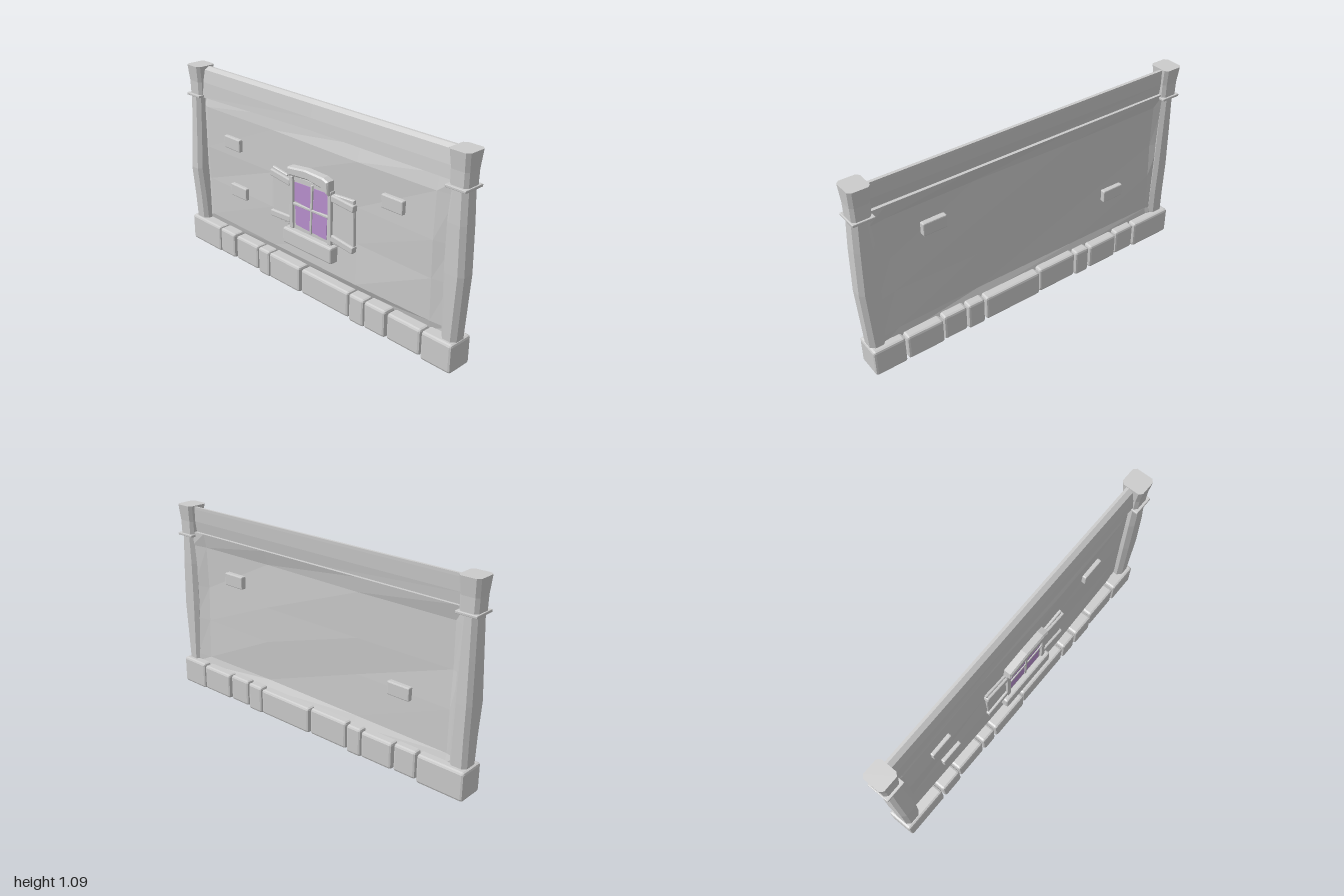
import * as THREE from 'three';
import { RoundedBoxGeometry } from 'three/addons/geometries/RoundedBoxGeometry.js';

const stone = new THREE.MeshStandardMaterial({ color: 0xcccccc });
stone.name = 'pale stone';
const glass = new THREE.MeshStandardMaterial({ color: 0xb990cf });
glass.name = 'violet glass';

// Facet a geometry so every face is flat
function facet(geo) {
  const g = geo.index ? geo.toNonIndexed() : geo;
  g.computeVertexNormals();
  return g;
}

function add(parent, name, geo, mat = stone) {
  const mesh = new THREE.Mesh(facet(geo), mat);
  mesh.name = name;
  parent.add(mesh);
  return mesh;
}

// Box with chamfered edges, given by its limits
function block(parent, name, [x0, x1], [y0, y1], [z0, z1], bevel = 0.008, tilt = 0) {
  const mesh = add(parent, name, new RoundedBoxGeometry(x1 - x0, y1 - y0, z1 - z0, 1, bevel));
  mesh.position.set((x0 + x1) / 2, (y0 + y1) / 2, (z0 + z1) / 2);
  mesh.rotation.z = tilt;
  return mesh;
}

// Column through chamfered rectangles [y, x0, x1, z0, z1]
function column(sections, c) {
  const pos = [], idx = [], n = 8;
  for (const [y, x0, x1, z0, z1] of sections) {
    const ring = [[x1 - c, z1], [x1, z1 - c], [x1, z0 + c], [x1 - c, z0],
      [x0 + c, z0], [x0, z0 + c], [x0, z1 - c], [x0 + c, z1]];
    ring.forEach(([x, z]) => pos.push(x, y, z));
  }
  const top = (sections.length - 1) * n;
  for (let i = 0; i < top; i += n) {
    for (let j = 0; j < n; j++) {
      const a = i + j, b = i + (j + 1) % n;
      idx.push(a, b, b + n, a, b + n, a + n);
    }
  }
  for (let j = 1; j < n - 1; j++) idx.push(top, top + j, top + j + 1, 0, j + 1, j);
  const g = new THREE.BufferGeometry();
  g.setAttribute('position', new THREE.Float32BufferAttribute(pos, 3));
  g.setIndex(idx);
  return g;
}

// Outline in x, y pushed out from z0 to z1
function plate(points, z0, z1, bevel = 0) {
  const shape = new THREE.Shape(points.map(([x, y]) => new THREE.Vector2(x, y)));
  const g = new THREE.ExtrudeGeometry(shape, {
    depth: z1 - z0 - bevel, bevelEnabled: bevel > 0, bevelSize: bevel,
    bevelThickness: bevel, bevelOffset: -bevel, bevelSegments: 1,
  });
  return g.translate(0, 0, z0);
}

// Uneven wall panel: raised in front, sunk at the back
function wallPanel() {
  const xs = [-0.91, -0.86, -0.3, 0.33, 0.81, 0.91];
  const ys = [0.14, 0.19, 0.42, 0.62, 0.86, 0.94];
  const g = new THREE.BoxGeometry(5, 5, 2, 5, 5, 1);
  const p = g.attributes.position;
  for (let k = 0; k < p.count; k++) {
    const i = Math.round(p.getX(k) + 2.5), j = Math.round(p.getY(k) + 2.5);
    const front = p.getZ(k) > 0;
    const edge = i === 0 || i === 5 || j === 0 || j === 5;
    const wobble = edge ? 0 : 0.006 * Math.sin(i * 2.3 + j * 1.7);
    p.setXYZ(k, xs[i], ys[j], (front ? (edge ? 0.005 : 0.023) : (edge ? -0.03 : -0.012)) + wobble);
  }
  return g;
}

// Top rail, leaning back and thinning upward
function topRail() {
  const rows = [[0.925, -0.012, 0.03], [1.0, -0.022, 0.024], [1.07, -0.026, 0.012], [1.085, -0.026, -0.012]];
  const g = new THREE.BoxGeometry(1.82, 3, 1, 2, 3, 1);
  const p = g.attributes.position;
  for (let k = 0; k < p.count; k++) {
    const j = Math.round(p.getY(k) + 1.5);
    const [y, back, front] = rows[j];
    const sag = j === 0 ? (p.getX(k) < -0.1 ? -0.015 : 0.012) : 0;
    p.setXYZ(k, p.getX(k), y + sag, p.getZ(k) > 0 ? front : back);
  }
  return g;
}

function buildWindow() {
  const win = new THREE.Group();
  win.name = 'window';
  add(win, 'windowFrame', plate([[-0.14, 0.34], [0.17, 0.34], [0.175, 0.66], [-0.135, 0.66]], 0, 0.036));

  // Four slightly crooked panes
  const panes = [
    [[-0.108, 0.52], [0.018, 0.512], [0.02, 0.635], [-0.106, 0.628]],
    [[0.032, 0.512], [0.143, 0.522], [0.146, 0.638], [0.04, 0.634]],
    [[-0.1, 0.385], [0.012, 0.38], [0.014, 0.5], [-0.104, 0.497]],
    [[0.024, 0.38], [0.132, 0.376], [0.138, 0.507], [0.026, 0.502]],
  ];
  for (const pane of panes) add(win, 'windowPane', plate(pane, 0.035, 0.039), glass);

  // Raised frame sides and glazing bars
  block(win, 'frameSide', [-0.138, -0.112], [0.36, 0.66], [0.02, 0.05], 0.004);
  block(win, 'frameSide', [0.148, 0.174], [0.36, 0.66], [0.02, 0.05], 0.004);
  block(win, 'glazingBar', [0.016, 0.03], [0.37, 0.65], [0.02, 0.045], 0.003, -0.04);
  block(win, 'glazingBar', [-0.12, 0.155], [0.5, 0.514], [0.02, 0.045], 0.003, 0.02);

  add(win, 'lintel', plate([[-0.137, 0.66], [-0.1, 0.672], [0.02, 0.682], [0.12, 0.668], [0.17, 0.64],
    [0.168, 0.715], [0.13, 0.728], [0.0, 0.732], [-0.132, 0.715]], 0, 0.07, 0.008));
  block(win, 'sill', [-0.17, 0.197], [0.265, 0.358], [0, 0.07], 0.01);

  // Shutters with two battens each
  add(win, 'shutter', plate([[-0.285, 0.375], [-0.135, 0.365], [-0.135, 0.645], [-0.285, 0.665]], 0, 0.036, 0.004));
  add(win, 'shutter', plate([[0.172, 0.365], [0.325, 0.37], [0.32, 0.655], [0.172, 0.645]], 0, 0.036, 0.004));
  for (const [x, y, tilt] of [[-0.213, 0.625, -0.12], [-0.213, 0.4, 0.05], [0.25, 0.62, -0.08], [0.25, 0.395, -0.12]]) {
    block(win, 'shutterBatten', [x - 0.078, x + 0.078], [y - 0.019, y + 0.019], [0.01, 0.05], 0.006, tilt);
  }
  return win;
}

export function createModel() {
  const model = new THREE.Group();
  model.name = 'wallSection';

  add(model, 'wallPanel', wallPanel());
  add(model, 'topRail', topRail());

  // Row of foundation stones
  const joints = [-1, -0.725, -0.585, -0.385, -0.285, -0.032, 0.328, 0.438, 0.585, 0.805, 0.993];
  for (let i = 0; i < joints.length - 1; i++) {
    const bulge = 0.004 * Math.sin(i * 2.1);
    block(model, 'foundationStone', [joints[i] + 0.004, joints[i + 1] - 0.004],
      [i % 3 ? 0.008 : 0, 0.156 + bulge * 0.7], [-0.074 + bulge, 0.074 + bulge], 0.013);
  }

  // Swelling corner posts
  add(model, 'leftPost', column([[0.14, 0.895, 0.982, -0.045, 0.05], [0.5, 0.885, 1.0, -0.048, 0.055],
    [0.75, 0.885, 0.993, -0.048, 0.055], [0.915, 0.895, 0.985, -0.046, 0.05]], 0.022));
  add(model, 'rightPost', column([[0.14, -0.982, -0.885, -0.045, 0.056], [0.3, -0.982, -0.885, -0.046, 0.066],
    [0.48, -0.985, -0.89, -0.048, 0.08], [0.7, -0.982, -0.895, -0.047, 0.066],
    [0.915, -0.978, -0.9, -0.045, 0.055]], 0.02));

  // Flared post heads on thin collars
  for (const s of [-1, 1]) {
    const head = [[0.92, 0.05, 0.05], [1.0, 0.051, 0.051], [1.09, 0.057, 0.061]].map(
      ([y, w, d]) => [y, s * 0.937 - w, s * 0.937 + w, -d, d]);
    add(model, 'postHead', column(head, 0.016));
    block(model, 'postCollar', [s * 0.937 - 0.057, s * 0.937 + 0.057], [0.912, 0.926], [-0.06, 0.064], 0.003);
  }

  // Loose bricks; two pass through the wall
  for (const [x, y, back] of [[-0.62, 0.703, 0], [-0.575, 0.425, -0.036], [0.57, 0.72, -0.036]]) {
    block(model, 'wallBrick', [x - 0.067, x + 0.067], [y - 0.036, y + 0.036], [back, 0.045], 0.006);
  }

  model.add(buildWindow());
  return model;
}
